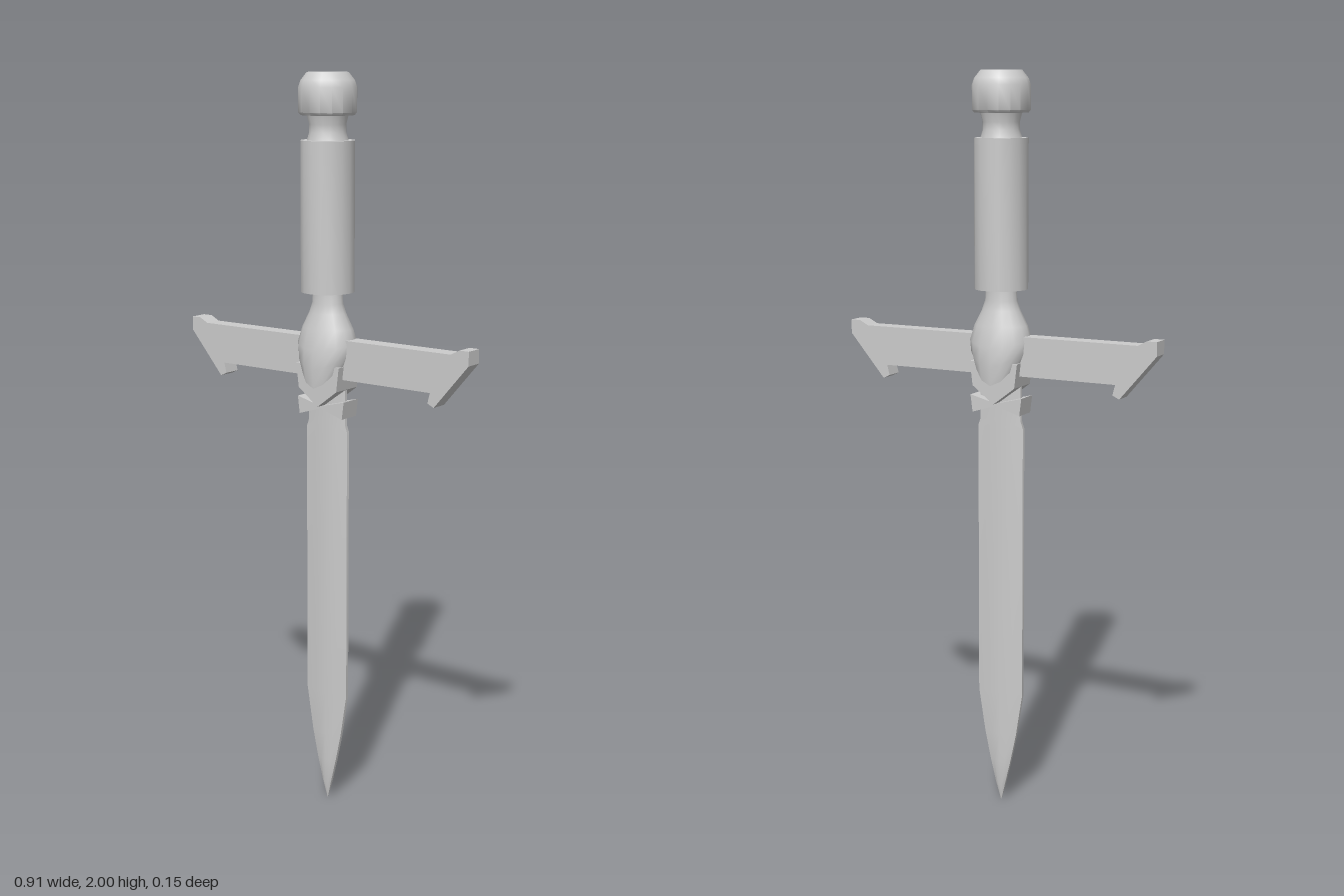
import * as THREE from 'three';
import { toCreasedNormals } from 'three/addons/utils/BufferGeometryUtils.js';

const material = new THREE.MeshStandardMaterial({ color: 0xcccccc });

function addMesh(group, name, geometry, crease = 0.7) {
  const mesh = new THREE.Mesh(toCreasedNormals(geometry, crease), material);
  mesh.name = name;
  group.add(mesh);
  return mesh;
}

// Closed skin through rings of [x, y, z] points, listed from bottom to top
function loft(rings) {
  const n = rings[0].length;
  const positions = rings.flat(2);
  const index = [];
  for (let r = 0; r < rings.length - 1; r++) {
    for (let j = 0; j < n; j++) {
      const a = r * n + j, b = r * n + (j + 1) % n;
      index.push(a, a + n, b, b, a + n, b + n);
    }
  }
  const last = rings.length - 1;
  for (const r of [0, last]) {
    const centre = [0, 1, 2].map(k => rings[r].reduce((s, p) => s + p[k], 0) / n);
    const c = positions.length / 3;
    positions.push(...centre);
    for (let j = 0; j < n; j++) {
      const a = r * n + j, b = r * n + (j + 1) % n;
      if (r === 0) index.push(c, a, b);
      else index.push(c, b, a);
    }
  }
  const geometry = new THREE.BufferGeometry();
  geometry.setAttribute('position', new THREE.Float32BufferAttribute(positions, 3));
  geometry.setIndex(index);
  return geometry;
}

// Flat outline in x and y, given thickness evenly about z = 0
function plate(points, halfDepth) {
  const shape = new THREE.Shape(points.map(([x, y]) => new THREE.Vector2(x, y)));
  return new THREE.ExtrudeGeometry(shape, { depth: 2 * halfDepth, bevelEnabled: false })
    .translate(0, 0, -halfDepth);
}

// Right half of an outline, closed by its mirror image
const mirrored = half => [...half, ...half.map(([x, y]) => [-x, y]).reverse().filter(p => p[0] !== 0)];

const turned = profile =>
  new THREE.LatheGeometry(profile.map(([r, y]) => new THREE.Vector2(r, y)), 16);

export function createModel() {
  const dagger = new THREE.Group();
  dagger.name = 'dagger';

  // Blade: lens-shaped section with blunt edges, [y, half width, half thickness]
  const stations = [
    [0, 0.001, 0.001], [0.05, 0.014, 0.011], [0.12, 0.031, 0.013], [0.2, 0.048, 0.013],
    [0.32, 0.067, 0.013], [1.07, 0.067, 0.013], [1.09, 0.06, 0.013], [1.2, 0.06, 0.013],
  ];
  const section = [[1, 0.35], [0.5, 0.82], [0, 1], [-0.5, 0.82], [-1, 0.35]];
  const loop = [...section, ...section.map(([x, z]) => [-x, -z])];
  addMesh(dagger, 'blade', loft(stations.map(([y, w, t]) => loop.map(([x, z]) => [x * w, y, z * t]))));

  // Collar: two wedges meeting at the middle
  addMesh(dagger, 'collarLeft', plate([[0, 1.132], [0.07, 1.11], [0.076, 1.157], [0, 1.138]], 0.032));
  addMesh(dagger, 'collarRight', plate([[0, 1.132], [0, 1.138], [-0.076, 1.157], [-0.07, 1.11]], 0.032));

  // Lower chevron under the bolster
  addMesh(dagger, 'chevron', plate(mirrored([[0, 1.138], [0.062, 1.185], [0.07, 1.25]]), 0.046));

  // Crossguard with hooked ends
  addMesh(dagger, 'crossguard', plate(mirrored([
    [0, 1.215], [0.34, 1.215], [0.333, 1.187], [0.352, 1.178], [0.453, 1.296],
    [0.453, 1.333], [0.425, 1.333], [0.4, 1.32], [0, 1.32],
  ]), 0.024), 0.4);

  // Bolster: oval rings that drop to a point at front and back, [y, drop, x radius, z radius]
  const sides = 16;
  const bolsterRings = [
    [1.25, 0.06, 0.072, 0.064], [1.275, 0.035, 0.083, 0.068], [1.305, 0.015, 0.087, 0.065],
    [1.345, 0, 0.074, 0.054], [1.385, 0, 0.053, 0.041], [1.41, 0, 0.044, 0.036], [1.45, 0, 0.041, 0.035],
  ];
  addMesh(dagger, 'bolster', loft(bolsterRings.map(([y, drop, rx, rz]) =>
    Array.from({ length: sides }, (_, j) => {
      const a = j / sides * 2 * Math.PI;
      return [rx * Math.cos(a), y - drop * Math.abs(Math.sin(a)) ** 3, rz * Math.sin(a)];
    }))));

  // Grip, neck and pommel turned about the centre line
  addMesh(dagger, 'grip', turned([[0, 1.44], [0.071, 1.44], [0.071, 1.83], [0, 1.83]]));
  addMesh(dagger, 'neck', turned([[0.056, 1.825], [0.048, 1.85], [0.048, 1.87], [0.056, 1.9]]));
  addMesh(dagger, 'pommel', turned([
    [0, 1.893], [0.07, 1.893], [0.076, 1.9], [0.076, 1.963], [0.07, 1.98], [0.054, 2], [0, 2],
  ]));

  return dagger;
}
